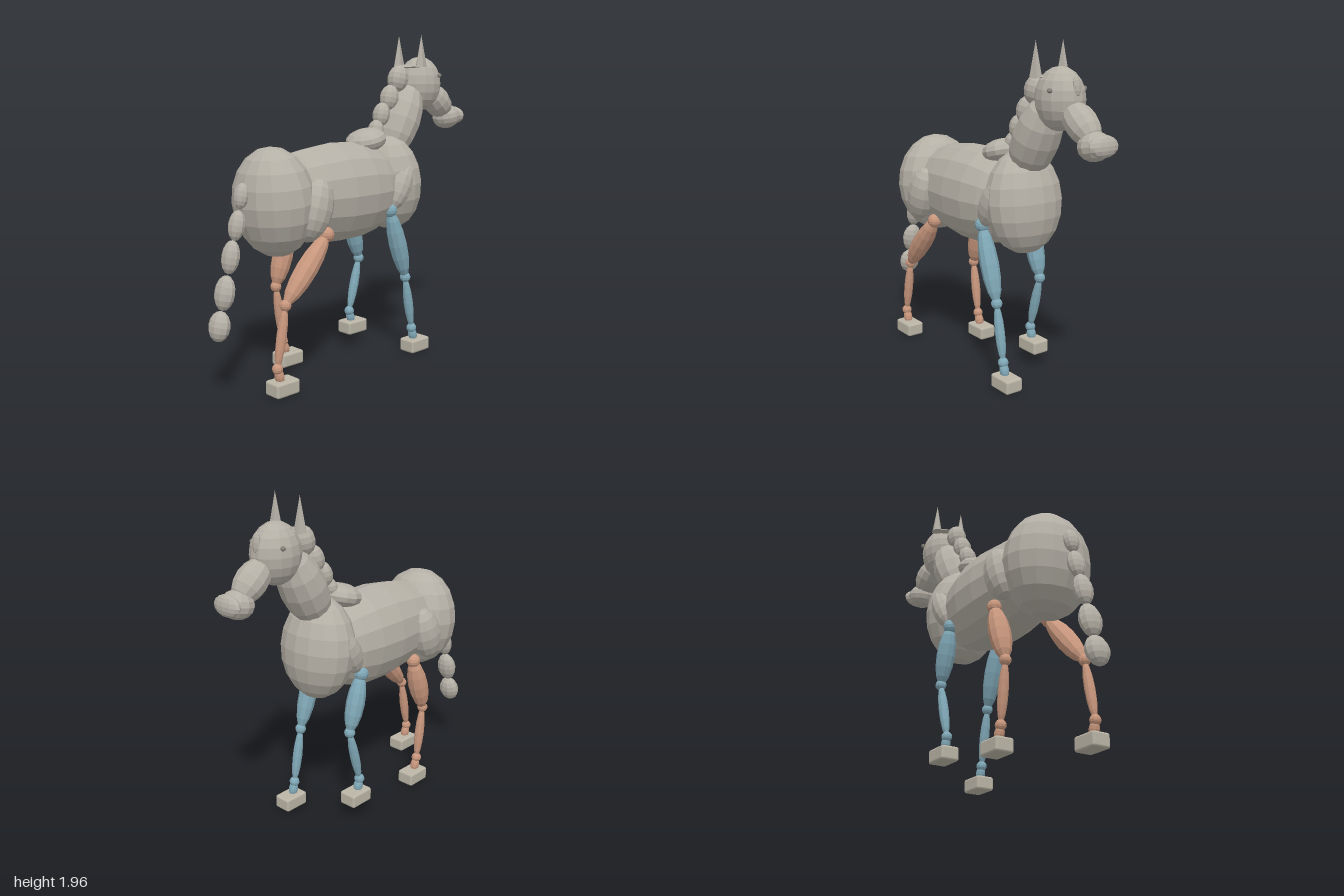
import * as THREE from 'three';
import { RoundedBoxGeometry } from 'three/addons/geometries/RoundedBoxGeometry.js';

const mat = (name, color) => new THREE.MeshStandardMaterial({ name, color });

export function createModel() {
  const horse = new THREE.Group();
  horse.name = 'horse';
  const coat = mat('coat grey', 0xb5b0a6);
  const hoofMat = mat('hoof grey', 0xbab5a6);
  const hind = mat('hind leg tan', 0xc8977d);
  const fore = mat('foreleg blue', 0x80a8b7);
  const eyeMat = mat('eye grey', 0x89857c);

  function add(name, geometry, material, x, y, z) {
    const mesh = new THREE.Mesh(geometry, material);
    mesh.name = name;
    mesh.position.set(x, y, z);
    horse.add(mesh);
    return mesh;
  }
  // Separate faces give every facet its own flat normal
  function faceted(geometry) {
    const g = geometry.index ? geometry.toNonIndexed() : geometry;
    g.computeVertexNormals();
    return g;
  }
  // Ellipsoid whose long axis is tilted from +y towards +z
  function ball(name, material, [x, y, z], [rx, ry, rz], tilt = 0, segs = 12, rows = 8) {
    const g = new THREE.SphereGeometry(1, segs, rows).scale(rx, ry, rz);
    return add(name, faceted(g.rotateX(tilt)), material, x, y, z);
  }
  // Tapered limb section between two [z, y] points
  function limb(name, material, x, a, b, r) {
    const dz = a[0] - b[0], dy = a[1] - b[1];
    ball(name, material, [x, (a[1] + b[1]) / 2, (a[0] + b[0]) / 2],
      [r, Math.hypot(dz, dy) / 2, r], Math.atan2(dz, dy), 10, 8);
  }

  // Trunk
  const profile = [[0, -0.36], [0.14, -0.34], [0.225, -0.25], [0.26, -0.16], [0.288, -0.03],
    [0.292, 0.15], [0.27, 0.33], [0.25, 0.43], [0.2, 0.49], [0, 0.52]];
  const barrel = new THREE.LatheGeometry(profile.map(p => new THREE.Vector2(...p)), 16);
  barrel.rotateX(Math.PI / 2).scale(0.83, 1, 1);
  add('barrel', faceted(barrel), coat, 0, 1.04, 0);
  ball('rump', coat, [0, 1.03, 0.565], [0.26, 0.308, 0.215], 0.08, 16, 10);
  ball('chest', coat, [0, 1.065, -0.335], [0.24, 0.3, 0.185], 0.1, 16, 10);
  ball('withers', coat, [0, 1.33, -0.15], [0.13, 0.07, 0.125], 0.25);

  // Neck and head
  ball('neck', coat, [0, 1.435, -0.44], [0.14, 0.26, 0.13], -0.47);
  ball('head', coat, [0, 1.663, -0.63], [0.127, 0.17, 0.147], 0, 14, 10);
  ball('muzzle', coat, [0, 1.55, -0.8], [0.09, 0.135, 0.088], 0.85);
  ball('nose', coat, [0, 1.447, -0.9], [0.092, 0.078, 0.09], 0.2);
  ball('lips', coat, [0, 1.455, -0.965], [0.097, 0.058, 0.035], 0.15);
  ball('forelock', coat, [0, 1.74, -0.76], [0.026, 0.055, 0.016], 0.12, 8, 6);
  ball('poll', coat, [0, 1.773, -0.54], [0.102, 0.012, 0.072], 0.08);

  // Mane: y, z, radii
  for (const [y, z, rx, ry, rz] of [
    [1.695, -0.43, 0.064, 0.084, 0.068], [1.58, -0.353, 0.06, 0.08, 0.058],
    [1.48, -0.283, 0.057, 0.074, 0.05], [1.39, -0.235, 0.052, 0.06, 0.044]]) {
    ball('maneTuft', coat, [0, y, z], [rx, ry, rz], -0.2, 10, 8);
  }

  // Tail: y, z, radii
  for (const [y, z, rx, ry, rz] of [
    [1.085, 0.785, 0.046, 0.071, 0.04], [0.93, 0.82, 0.053, 0.083, 0.042],
    [0.765, 0.863, 0.057, 0.092, 0.046], [0.577, 0.906, 0.066, 0.096, 0.05],
    [0.402, 0.945, 0.07, 0.083, 0.053]]) {
    ball('tailTuft', coat, [0, y, z], [rx, ry, rz], -0.2, 10, 8);
  }

  // Paired ears, eyes, shoulders and thighs
  for (const s of [-1, 1]) {
    const ear = new THREE.ConeGeometry(0.038, 0.195, 5).scale(0.85, 1, 1.1);
    add('ear', faceted(ear), coat, s * 0.093, 1.866, -0.538);
    ball('eye', eyeMat, [s * 0.118, 1.716, -0.685], [0.014, 0.014, 0.014], 0, 8, 6);
    ball('shoulder', coat, [s * 0.175, 1.06, -0.27], [0.07, 0.155, 0.078], -0.5);
    ball('thigh', coat, [s * 0.195, 1.0, s > 0 ? 0.43 : 0.4], [0.09, 0.17, 0.105], -0.3);
  }

  // Legs: joints from top to ankle as [z, y], then hoof centre
  const legs = [
    { name: 'hindLeg', m: hind, x: 0.175, hip: [0.33, 0.84], knee: [0.635, 0.492], ankle: [0.695, 0.15], hoof: [0.66, 0.041], r: 0.062 },
    { name: 'hindLeg', m: hind, x: -0.178, hip: [0.31, 0.84], knee: [0.415, 0.492], ankle: [0.367, 0.15], hoof: [0.33, 0.041], r: 0.062 },
    { name: 'foreleg', m: fore, x: 0.177, hip: [-0.18, 0.92], knee: [-0.32, 0.487], ankle: [-0.383, 0.15], hoof: [-0.415, 0.041], r: 0.055 },
    { name: 'foreleg', m: fore, x: -0.18, hip: [-0.17, 0.9], knee: [-0.268, 0.56], ankle: [-0.185, 0.225], hoof: [-0.215, 0.123], r: 0.055 },
  ];
  for (const { name, m, x, hip, knee, ankle, hoof, r } of legs) {
    const joint = (part, [z, y], radius) =>
      ball(name + part, m, [x, y, z], [radius, radius, radius], 0, 10, 8);
    joint('TopJoint', hip, 0.043);
    limb(name + 'Upper', m, x, hip, knee, r);
    joint('Knee', knee, 0.033);
    limb(name + 'Lower', m, x, knee, ankle, 0.029);
    joint('Ankle', ankle, 0.031);
    limb(name + 'Pastern', m, x, ankle, [hoof[0] + 0.01, hoof[1] + 0.02], 0.028);
    add(name + 'Hoof', new RoundedBoxGeometry(0.112, 0.082, 0.16, 2, 0.014), hoofMat, x, hoof[1], hoof[0]);
  }
  return horse;
}
